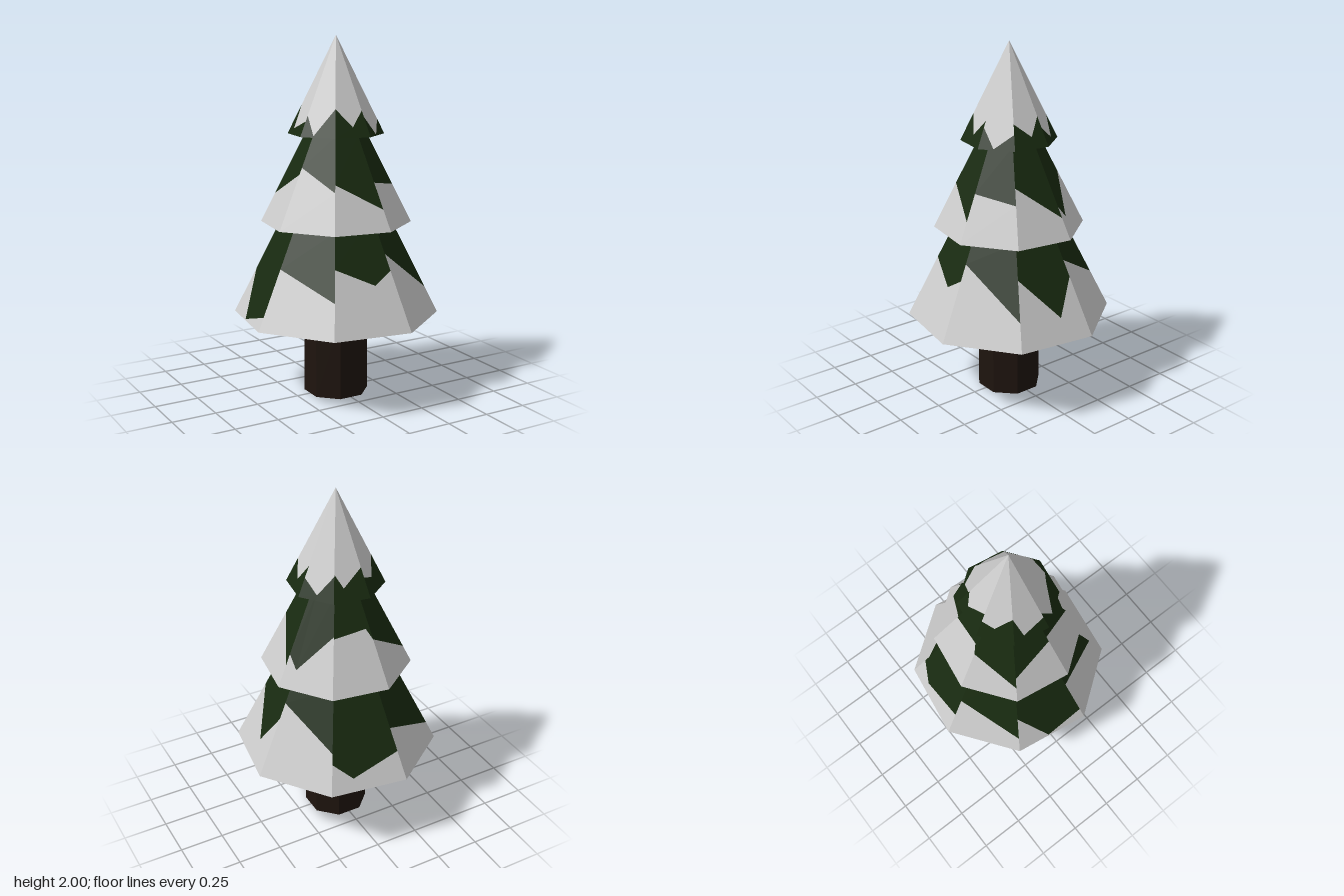
import * as THREE from 'three';

const SIDES = 8;
const TURN = THREE.MathUtils.degToRad(14.1); // angle of the first corner, from +z towards +x

const snowMaterial = new THREE.MeshStandardMaterial({ color: 0xcccccc });
const needleMaterial = new THREE.MeshStandardMaterial({ color: 0x182a10 });
const barkMaterial = new THREE.MeshStandardMaterial({ color: 0x1e140e });

// Each tier is an eight-sided cone or frustum. edges holds, for every facet,
// the snow line as points [fraction across the facet, height].
const TIERS = [
  {
    name: 'lowerTier', y0: 0.46, r0: 0.572, y1: 0.98, r1: 0.31, snowOnTop: false,
    edges: [
      [[0, 0.855], [1, 0.605]],
      [[0, 0.805], [0.64, 0.583], [1, 0.77]],
      [[0, 0.855], [1, 0.67]],
      [[0, 0.617], [0.3, 0.527], [1, 0.613]],
      [[0, 0.735], [1, 0.56]],
      [[0, 0.71], [0.45, 0.466], [1, 0.533]],
      [[0, 0.775], [1, 0.64]],
      [[0, 0.8], [0.67, 0.705], [1, 0.77]],
    ],
  },
  {
    name: 'middleTier', y0: 0.98, r0: 0.417, y1: 1.47, r1: 0.17, snowOnTop: false,
    edges: [
      [[0, 1.23], [1, 1.19]],
      [[0, 1.273], [1, 1.093]],
      [[0, 1.151], [0.23, 1.082], [1, 1.279]],
      [[0, 1.268], [0.89, 1.29], [1, 1.234]],
      [[0, 1.234], [1, 1.073]],
      [[0, 1.138], [1, 1.27]],
      [[0, 1.305], [1, 1.19]],
      [[0, 1.23], [1, 1.093]],
    ],
  },
  {
    name: 'topTier', y0: 1.47, r0: 0.264, y1: 2, r1: 0, snowOnTop: true,
    edges: [
      [[0, 1.575], [0.42, 1.475], [1, 1.55]],
      [[0, 1.6], [0.58, 1.528], [1, 1.623]],
      [[0, 1.565], [0.5, 1.496], [1, 1.597]],
      [[0, 1.607], [0.3, 1.536], [1, 1.62]],
      [[0, 1.57], [0.43, 1.544], [1, 1.63]],
      [[0, 1.63], [0.3, 1.502], [1, 1.55]],
      [[0, 1.58], [0.37, 1.478], [1, 1.618]],
      [[0, 1.618], [0.55, 1.523], [1, 1.607]],
    ],
  },
];

// Corner k of a tier at height y
function corner(tier, k, y) {
  const r = THREE.MathUtils.mapLinear(y, tier.y0, tier.y1, tier.r0, tier.r1);
  const a = TURN + (k * Math.PI * 2) / SIDES;
  return new THREE.Vector3(r * Math.sin(a), y, r * Math.cos(a));
}

// Point on facet k, a fraction u of the way across at height y
function onFacet(tier, k, [u, y]) {
  return corner(tier, k, y).lerp(corner(tier, k + 1, y), u);
}

function addTriangle(list, a, b, c) {
  const area = b.clone().sub(a).cross(c.clone().sub(a)).length();
  if (area > 1e-8) list.push(a, b, c);
}

function meshFrom(points, material, name) {
  const geometry = new THREE.BufferGeometry().setFromPoints(points);
  geometry.computeVertexNormals();
  const mesh = new THREE.Mesh(geometry, material);
  mesh.name = name;
  return mesh;
}

function makeTier(tier) {
  const below = [];
  const above = [];
  tier.edges.forEach((line, k) => {
    // Split the facet into strips below and above the snow line
    const strip = (list, low, high) => {
      for (let i = 0; i < line.length - 1; i++) {
        const a = onFacet(tier, k, low(line[i]));
        const b = onFacet(tier, k, low(line[i + 1]));
        const c = onFacet(tier, k, high(line[i + 1]));
        const d = onFacet(tier, k, high(line[i]));
        addTriangle(list, a, b, c);
        addTriangle(list, a, c, d);
      }
    };
    const edge = (p) => p;
    strip(below, ([u]) => [u, tier.y0], edge);
    strip(above, edge, ([u]) => [u, tier.y1]);
  });

  // Flat underside
  const underside = [];
  const centre = new THREE.Vector3(0, tier.y0, 0);
  for (let k = 0; k < SIDES; k++) {
    addTriangle(underside, centre, corner(tier, k + 1, tier.y0), corner(tier, k, tier.y0));
  }

  const group = new THREE.Group();
  group.name = tier.name;
  group.add(
    meshFrom(tier.snowOnTop ? above : below, snowMaterial, 'snow'),
    meshFrom(tier.snowOnTop ? below : above, needleMaterial, 'needles'),
    meshFrom(underside, needleMaterial, 'underside'),
  );
  return group;
}

// Eight-sided trunk with a flat side to the front
function makeTrunk() {
  const geometry = new THREE.CylinderGeometry(0.181, 0.181, 0.46, SIDES)
    .rotateY(Math.PI / SIDES)
    .translate(0, 0.23, 0)
    .toNonIndexed();
  geometry.computeVertexNormals();
  const trunk = new THREE.Mesh(geometry, barkMaterial);
  trunk.name = 'trunk';
  return trunk;
}

export function createModel() {
  const tree = new THREE.Group();
  tree.name = 'snowyTree';
  tree.add(makeTrunk(), ...TIERS.map(makeTier));
  return tree;
}
